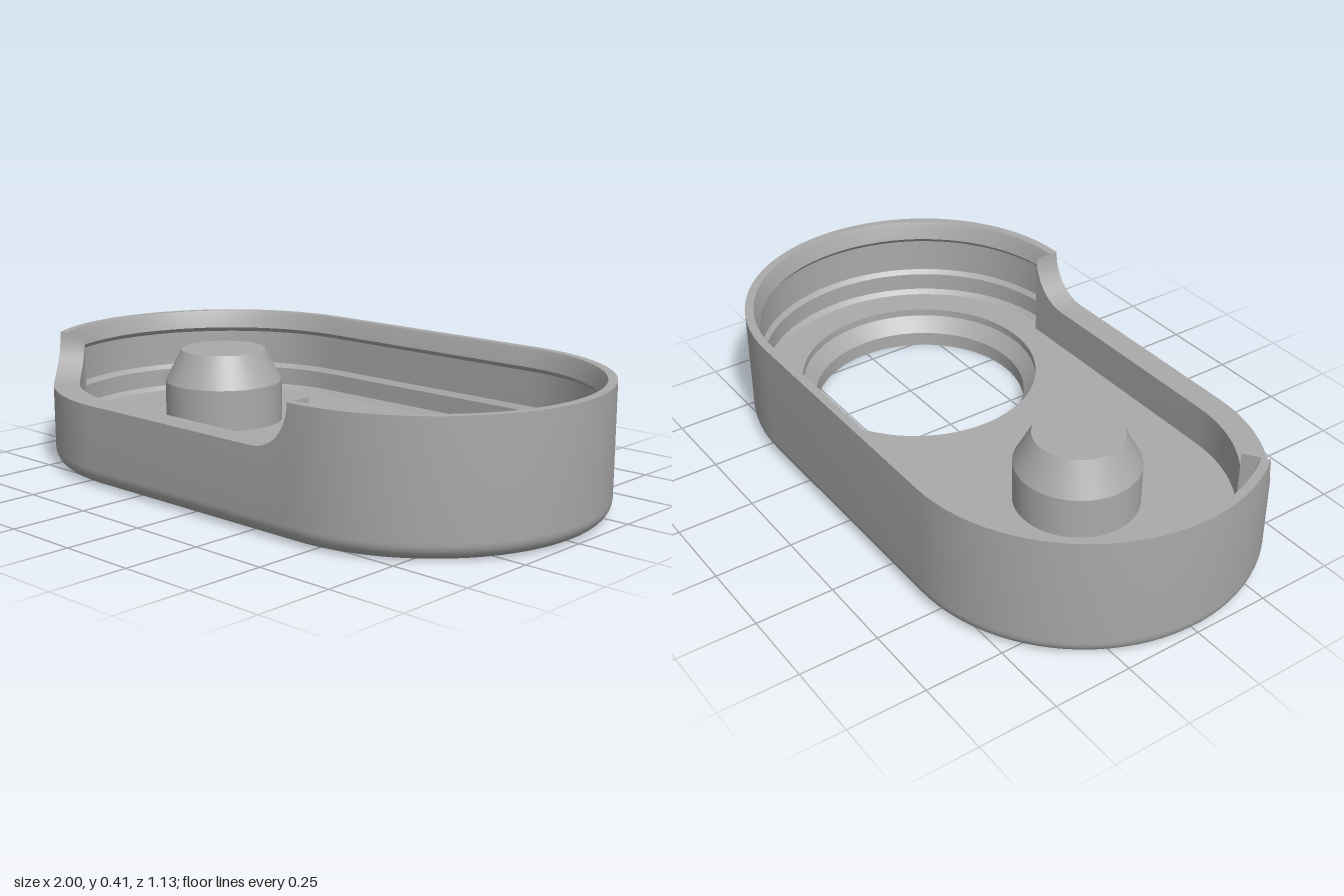
import * as THREE from 'three';
import { toCreasedNormals } from 'three/addons/utils/BufferGeometryUtils.js';

const R = 0.565, CX = 0.435, H = 0.405, FLOOR = 0.125;
const NOTCH_X = 0.42, NOTCH_ANGLE = 145, NOTCH_Y = 0.26, PAD = 0.085;
const rad = THREE.MathUtils.degToRad;

// Point on the rounded outline: arc centre cx, angle a, inset d, height y
const at = ({ cx, a }, [d, y]) => [cx + (R - d) * Math.cos(a), y, (R - d) * Math.sin(a)];

// Skins a cross-section along path stations, optionally closing both ends
function sweep(path, section, caps) {
  const pos = [];
  const rings = path.map((p) => section(p).map((q) => at(p, q)));
  for (let i = 0; i + 1 < rings.length; i++) {
    const P = rings[i], Q = rings[i + 1];
    for (let j = 0; j + 1 < P.length; j++) {
      pos.push(...P[j], ...Q[j], ...Q[j + 1], ...P[j], ...Q[j + 1], ...P[j + 1]);
    }
  }
  if (caps) {
    const A = rings[0], B = rings[rings.length - 1];
    for (let j = 1; j + 1 < A.length; j++) {
      pos.push(...A[0], ...A[j], ...A[j + 1], ...B[0], ...B[j + 1], ...B[j]);
    }
  }
  const g = new THREE.BufferGeometry();
  g.setAttribute('position', new THREE.Float32BufferAttribute(pos, 3));
  return toCreasedNormals(g, rad(25));
}

// Rounded lower outer edge shared by all wall sections
const foot = [];
for (let i = 0; i <= 8; i++) {
  const t = (i / 8) * Math.PI / 2;
  foot.push([0.055 * (1 - Math.sin(t)), 0.055 * (1 - Math.cos(t))]);
}

function stadium(r) {
  const s = new THREE.Shape();
  s.absarc(CX, 0, r, -Math.PI / 2, Math.PI / 2);
  s.absarc(-CX, 0, r, Math.PI / 2, Math.PI * 1.5);
  s.closePath();
  return s;
}

function circle(r) {
  const p = new THREE.Path();
  p.absarc(CX, 0, r, 0, Math.PI * 2, true);
  return p;
}

// Curved arrow running around the round opening
function arrowPoints() {
  const pts = [];
  const add = (r, deg) => pts.push(new THREE.Vector2(CX + r * Math.cos(rad(deg)), r * Math.sin(rad(deg))));
  for (let i = 0; i <= 16; i++) add(0.472, 138 - i * 4.5);
  add(0.492, 66);
  add(0.46, 53);
  add(0.428, 66);
  for (let i = 16; i >= 0; i--) add(0.448, 138 - i * 4.5);
  return pts;
}

export function createModel() {
  const group = new THREE.Group();
  const grey = new THREE.MeshStandardMaterial({ color: 0xaaaaaa });
  grey.name = 'grey';
  const add = (name, geometry) => {
    const m = new THREE.Mesh(geometry, grey);
    m.name = name;
    group.add(m);
    return m;
  };

  // Thin wall with a snap groove, around everything but the notch
  const wallPath = [{ cx: NOTCH_X, a: Math.PI / 2 }];
  for (let i = 0; i <= 40; i++) wallPath.push({ cx: CX, a: rad(90 - i * 4.5) });
  const leftSweep = 270 - NOTCH_ANGLE;
  for (let i = 0; i <= 30; i++) wallPath.push({ cx: -CX, a: rad(-90 - (i / 30) * leftSweep) });
  const grooved = [...foot, [0, H], [0.028, H], [0.032, 0.395], [0.045, 0.345], [0.032, 0.33],
    [0.032, 0.215], [0.045, 0.2], [0.045, 0.14], [0.06, FLOOR]];
  add('groovedWall', sweep(wallPath, () => grooved));

  // Thick low wall of the notch, curving up to the rim at both ends
  const arc = rad(NOTCH_ANGLE - 90), mid = R - PAD / 2;
  const arcLen = arc * mid, total = arcLen + CX + NOTCH_X, W = 0.14;
  const stops = [];
  for (let i = 0; i <= 12; i++) {
    const s = W * (1 - Math.cos((i / 12) * Math.PI / 2));
    stops.push(s, total - s);
  }
  for (let i = 1; i <= 10; i++) stops.push(W + (arcLen - W) * (i / 10));
  stops.sort((a, b) => a - b);
  const notchPath = stops.map((s) => (s < arcLen
    ? { cx: -CX, a: rad(NOTCH_ANGLE) - s / mid, s }
    : { cx: -CX + s - arcLen, a: Math.PI / 2, s }));
  const padSection = ({ s }) => {
    const t = Math.min(1, Math.max(0, Math.min(s, total - s) / W));
    const top = NOTCH_Y + (H - NOTCH_Y) * (1 - Math.sqrt(Math.max(0, 1 - (1 - t) ** 2)));
    return [...foot, [0, top], [PAD, top], [PAD, FLOOR]];
  };
  add('notchWall', sweep(notchPath, padSection, true));

  // Floor, seen from inside
  const top = stadium(R - 0.06);
  top.holes.push(circle(0.395));
  add('floorTop', new THREE.ShapeGeometry(top, 64).rotateX(-Math.PI / 2).translate(0, FLOOR, 0));

  // Underside with the arrow cut out
  const under = stadium(R - 0.055);
  under.holes.push(circle(0.355), new THREE.Path(arrowPoints()));
  add('underside', new THREE.ShapeGeometry(under, 64).rotateX(Math.PI / 2));

  // Engraved arrow: an inside-out extrusion sunk into the underside
  const recess = new THREE.ExtrudeGeometry(new THREE.Shape(arrowPoints()), { depth: 0.015, bevelEnabled: false });
  recess.scale(1, 1, -1).rotateX(Math.PI / 2);
  recess.computeVertexNormals();
  add('arrowRecess', recess);

  // Stepped bore of the round opening, and the post with its tapered tip
  const lathe = (pts) => toCreasedNormals(
    new THREE.LatheGeometry(pts.map(([x, y]) => new THREE.Vector2(x, y)), 64), rad(25));
  add('openingBore', lathe([[0.395, FLOOR], [0.395, 0.1], [0.355, 0.05], [0.355, 0]])).position.x = CX;
  add('post', lathe([[0.195, FLOOR - 0.01], [0.195, 0.26], [0.14, 0.365], [0, 0.365]])).position.x = -CX;

  return group;
}
